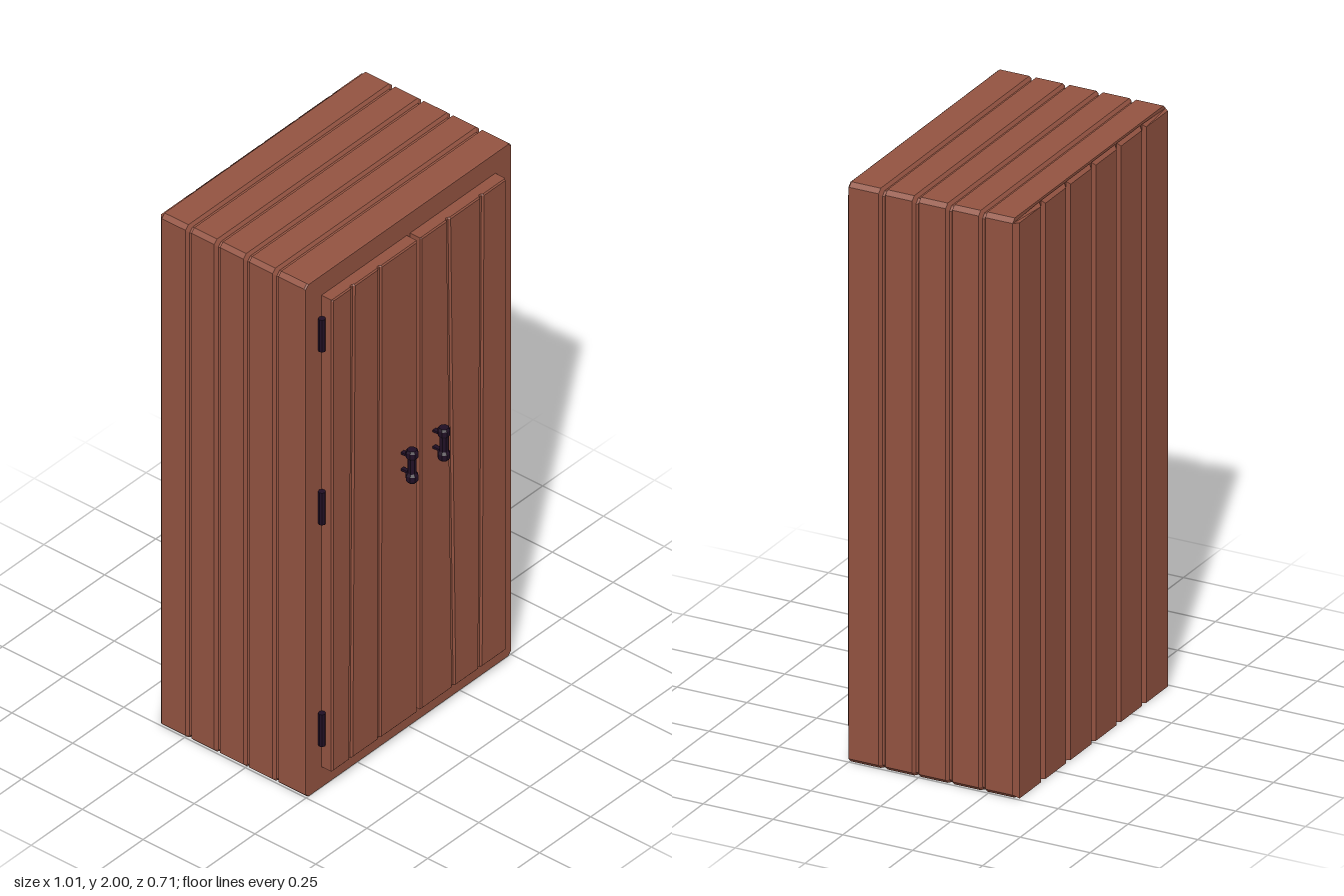
import * as THREE from 'three';

const wood = new THREE.MeshStandardMaterial({ color: 0x935341 });
wood.name = 'redBrownWood';
const iron = new THREE.MeshStandardMaterial({ color: 0x200f24 });
iron.name = 'darkIron';

// Flat-faced solid through counter-clockwise rings of [u, v, w] points stacked along w
function loft(rings) {
  const pos = [];
  const tri = (a, b, c) => pos.push(...a, ...b, ...c);
  for (let i = 0; i < rings.length - 1; i++) {
    const lo = rings[i], hi = rings[i + 1], n = lo.length;
    for (let k = 0; k < n; k++) {
      const m = (k + 1) % n;
      tri(lo[k], lo[m], hi[m]);
      tri(lo[k], hi[m], hi[k]);
    }
  }
  const cap = (ring, flip) => {
    const pts = ring.map(p => new THREE.Vector2(p[0], p[1]));
    for (const [a, b, c] of THREE.ShapeUtils.triangulateShape(pts, [])) {
      if (flip) tri(ring[a], ring[c], ring[b]);
      else tri(ring[a], ring[b], ring[c]);
    }
  };
  cap(rings[0], true);
  cap(rings[rings.length - 1], false);
  const g = new THREE.BufferGeometry();
  g.setAttribute('position', new THREE.Float32BufferAttribute(pos, 3));
  g.computeVertexNormals();
  return g;
}

function add(parent, name, geometry, material, x = 0, y = 0, z = 0) {
  const mesh = new THREE.Mesh(geometry, material);
  mesh.name = name;
  mesh.position.set(x, y, z);
  parent.add(mesh);
  return mesh;
}

// Case cross-section with bevelled corners; inset sinks the sides and top only
function caseRing(z, inset) {
  const w = 0.505 - inset, h = 2 - inset, c = 0.014;
  return [[-w + c, 0], [w - c, 0], [w, c], [w, h - c], [w - c, h],
    [-w + c, h], [-w, h - c], [-w, c]].map(([x, y]) => [x, y, z]);
}

// Case: planks running over the sides and top, split by V grooves
function caseGeometry() {
  const rings = [caseRing(-0.34, 0)];
  for (const z of [-0.23, -0.112, 0.008, 0.128]) {
    rings.push(caseRing(z - 0.012, 0), caseRing(z - 0.004, 0.011),
      caseRing(z + 0.004, 0.011), caseRing(z + 0.012, 0));
  }
  rings.push(caseRing(0.245, 0), caseRing(0.25, 0.003));
  return loft(rings);
}

// Back: vertical planks with V grooves and bevelled outer edges
function backGeometry() {
  const profile = [[-0.505, 0.34], [0.505, 0.34], [0.49, 0.356]];
  for (const x of [0.333, 0.167, 0, -0.167, -0.333]) {
    profile.push([x + 0.015, 0.356], [x + 0.006, 0.345], [x - 0.006, 0.345], [x - 0.015, 0.356]);
  }
  profile.push([-0.49, 0.356]);
  const bevel = (x, v) => Math.max(0, Math.abs(x) - 0.491, v - 0.342);
  return loft([
    profile.map(([x, v]) => [x, v, Math.max(0, Math.abs(x) - 0.491)]),
    profile.map(([x, v]) => [x, v, 2 - bevel(x, v)]),
  ]).rotateX(-Math.PI / 2);
}

// Door: front face cut by slightly slanted grooves given as [bottom x, top x]
function doorGeometry(x0, x1, f0, f1, grooves) {
  const y0 = 0.08, y1 = 1.92;
  const ring = (y, inset) => {
    const t = (y - y0) / (y1 - y0), front = -0.295 + inset;
    const pts = [[x0, -0.25], [x0, -0.29], [f0, front]];
    for (const [bottom, top] of grooves) {
      const x = bottom + (top - bottom) * t;
      pts.push([x - 0.01, front], [x - 0.004, front + 0.006],
        [x + 0.004, front + 0.006], [x + 0.01, front]);
    }
    pts.push([f1, front], [x1, -0.29], [x1, -0.25]);
    return pts.map(([x, v]) => [x, v, y]);
  };
  return loft([ring(y0, 0.004), ring(y0 + 0.005, 0), ring(y1 - 0.005, 0), ring(y1, 0.004)])
    .rotateX(-Math.PI / 2);
}

// Handle: eight-sided grip with flared ends on two short posts
function addHandle(parent, name, x) {
  const handle = new THREE.Group();
  handle.name = name;
  handle.position.set(x, 1.105, 0.335);
  const profile = [[0, -0.062], [0.016, -0.062], [0.021, -0.054], [0.021, -0.036], [0.015, -0.027],
    [0.015, 0.027], [0.021, 0.036], [0.021, 0.054], [0.016, 0.062], [0, 0.062]]
    .map(([r, y]) => new THREE.Vector2(r, y));
  const grip = new THREE.LatheGeometry(profile, 8, Math.PI / 8).toNonIndexed();
  grip.computeVertexNormals();
  add(handle, 'handleGrip', grip, iron);
  for (const y of [-0.032, 0.032]) {
    add(handle, 'handlePost', new THREE.BoxGeometry(0.014, 0.008, 0.045), iron, 0, y, -0.0225);
  }
  parent.add(handle);
}

export function createModel() {
  const model = new THREE.Group();
  model.name = 'wardrobe';
  add(model, 'case', caseGeometry(), wood);
  add(model, 'backPlanks', backGeometry(), wood);

  // Doors meet at a V-shaped gap in the middle
  add(model, 'rightDoor', doorGeometry(-0.425, -0.008, -0.42, -0.013,
    [[-0.335, -0.323], [-0.195, -0.192]]), wood);
  add(model, 'leftDoor', doorGeometry(0.008, 0.425, 0.013, 0.42,
    [[0.168, 0.143], [0.297, 0.306]]), wood);
  addHandle(model, 'rightHandle', -0.083);
  addHandle(model, 'leftHandle', 0.072);

  // Three hinge pins on each side
  const pin = new THREE.CylinderGeometry(0.012, 0.012, 0.125, 8).toNonIndexed();
  pin.computeVertexNormals();
  for (const x of [-0.437, 0.437]) {
    for (const y of [0.24, 1.105, 1.78]) add(model, 'hinge', pin, iron, x, y, 0.262);
  }
  return model;
}
